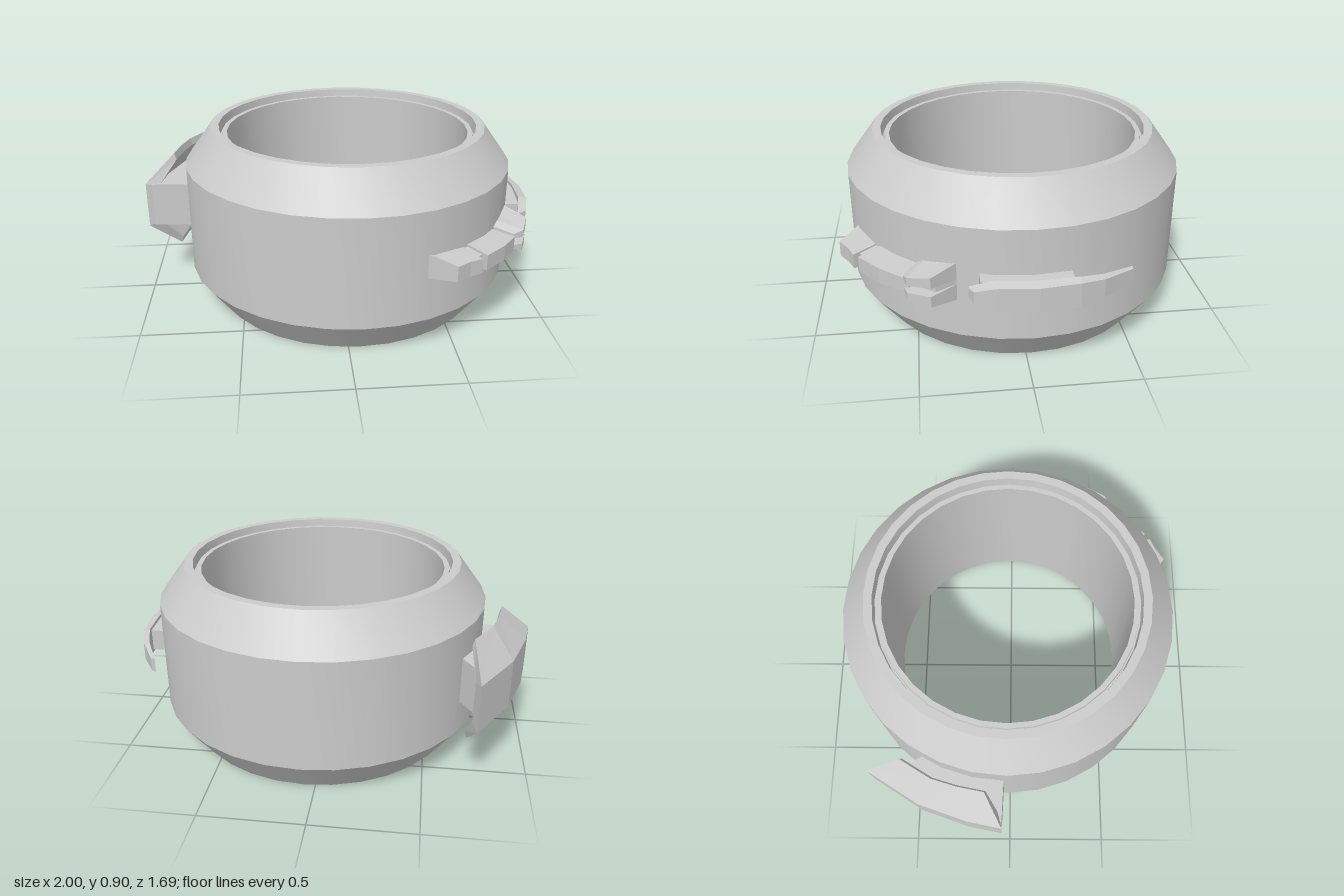
import * as THREE from 'three';
import { toCreasedNormals } from 'three/addons/utils/BufferGeometryUtils.js';

const CX = 0.055, CZ = -0.017, MID = 0.455;
const material = new THREE.MeshStandardMaterial({ color: 0xcccccc });
const flat = new THREE.MeshStandardMaterial({ color: 0xcccccc, flatShading: true });

// Joins equal-length closed cross-sections into a capped, faceted solid.
function loft(name, sections) {
  const n = sections[0].length, tris = [];
  for (let i = 0; i < sections.length - 1; i++) {
    for (let j = 0; j < n; j++) {
      const k = (j + 1) % n;
      const a = sections[i][j], b = sections[i][k], c = sections[i + 1][k], d = sections[i + 1][j];
      tris.push([a, b, c], [a, c, d]);
    }
  }
  // caps fold inwards from both ends of the section, so channel shapes work too
  for (const [s, flip] of [[sections[0], true], [sections.at(-1), false]]) {
    for (let j = 0; j < n / 2 - 1; j++) {
      const q = [s[j], s[j + 1], s[n - 2 - j], s[n - 1 - j]];
      if (flip) q.reverse();
      tris.push([q[0], q[1], q[2]], [q[0], q[2], q[3]]);
    }
  }
  // turn the faces outwards
  let volume = 0;
  for (const [a, b, c] of tris) volume += a.dot(b.clone().cross(c));
  if (volume < 0) tris.forEach((t) => t.reverse());
  const geometry = new THREE.BufferGeometry().setFromPoints(tris.flat());
  geometry.computeVertexNormals();
  const mesh = new THREE.Mesh(geometry, flat);
  mesh.name = name;
  return mesh;
}

const v = (x, y, z) => new THREE.Vector3(x, y, z);
// Point on the band: angle in degrees, distance from its axis, height from mid-line
function polar(deg, r, y) {
  const a = THREE.MathUtils.degToRad(deg);
  return v(CX + r * Math.cos(a), MID + y, CZ + r * Math.sin(a));
}

function band() {
  const half = [
    [0.615, 0.87], [0.64, 0.87], [0.642, 0.85], [0.65, 0.85],
    [0.655, 0.905], [0.697, 0.905], [0.83, 0.725],
  ];
  const lower = half.map(([r, y]) => [r, 0.905 - y]);
  const profile = [...lower, ...half.slice().reverse(), lower[0]];
  const lathe = new THREE.LatheGeometry(profile.map(([r, y]) => new THREE.Vector2(r, y)), 32);
  const mesh = new THREE.Mesh(toCreasedNormals(lathe, 0.5), material);
  mesh.name = 'ringBand';
  mesh.position.set(CX, 0, CZ);
  return mesh;
}

// Hollow three-sided guard carried on a solid block
function largeGuard() {
  const g = new THREE.Group();
  g.name = 'largeGuard';
  // [outer x, z, wing x, z, inner x, z]
  const rows = [
    [-1.0, -0.04, -0.85, -0.12, -0.935, -0.05],
    [-0.97, -0.2, -0.825, -0.25, -0.915, -0.19],
    [-0.89, -0.44, -0.79, -0.37, -0.84, -0.41],
    [-0.73, -0.7, -0.7, -0.52, -0.71, -0.63],
  ];
  g.add(loft('guardShell', rows.map(([ox, oz, wx, wz, ix, iz]) => [
    v(wx, 0.72, wz), v(ox, 0.58, oz), v(ox, 0.34, oz), v(wx, 0.2, wz),
    v(wx + 0.01, 0.235, wz + 0.005), v(ix, 0.36, iz), v(ix, 0.56, iz), v(wx + 0.01, 0.685, wz + 0.005),
  ])));
  const block = [[-0.97, -0.04, -0.74, -0.03], [-0.94, -0.2, -0.7, -0.2], [-0.85, -0.41, -0.64, -0.35], [-0.73, -0.55, -0.65, -0.42]];
  g.add(loft('guardMount', block.map(([ox, oz, ix, iz]) => [
    v(ox, 0.575, oz), v(ox, 0.345, oz), v(ix, 0.345, iz), v(ix, 0.575, iz),
  ])));
  return g;
}

// Thin curved lever on a small block
function lever() {
  const g = new THREE.Group();
  g.name = 'lever';
  // [outer x, inner x, z, half height inside, half height outside]
  const rows = [
    [0.91, 0.9, 0.27, 0.028, 0.022], [0.952, 0.91, 0.25, 0.038, 0.03],
    [0.982, 0.935, 0.16, 0.071, 0.058], [1.0, 0.955, -0.02, 0.071, 0.058],
    [0.98, 0.945, -0.2, 0.07, 0.058], [0.94, 0.91, -0.31, 0.055, 0.046],
    [0.85, 0.832, -0.455, 0.037, 0.033],
  ];
  g.add(loft('leverBlade', rows.map(([ox, ix, z, hi, ho]) => [
    v(ox, MID + ho, z), v(ox, MID - ho, z), v(ix, MID - hi, z), v(ix, MID + hi, z),
  ])));
  const mount = [[0.92, 0.82, 0.22], [0.955, 0.85, 0], [0.945, 0.83, -0.18]];
  g.add(loft('leverMount', mount.map(([ox, ix, z]) => [
    v(ox, MID + 0.055, z), v(ox, MID - 0.055, z), v(ix, MID - 0.055, z), v(ix, MID + 0.055, z),
  ])));
  return g;
}

// Segmented clasp that follows the band and ends in a forked head
function clasp() {
  const g = new THREE.Group();
  g.name = 'clasp';
  // [angle, outer radius, half height at top, half height at base]
  const body = (rows) => rows.map(([a, r, top, base]) => [
    polar(a, r, top), polar(a, r, -top), polar(a, 0.78, -base), polar(a, 0.78, base),
  ]);
  g.add(loft('claspTail', body([
    [69.5, 0.825, 0.06, 0.06], [64.7, 0.948, 0.038, 0.058], [60, 0.94, 0.038, 0.055], [55.8, 0.95, 0.035, 0.052],
  ])));
  g.add(loft('claspGroove', body([[56, 0.915, 0.03, 0.045], [53, 0.915, 0.03, 0.045]])));
  g.add(loft('claspBody', body([
    [53.6, 0.945, 0.038, 0.055], [45, 0.945, 0.038, 0.055], [38, 0.94, 0.036, 0.052], [35.5, 0.925, 0.025, 0.035],
  ])));
  g.add(loft('claspNeck', body([
    [36, 0.9, 0.02, 0.025], [28, 0.905, 0.03, 0.04], [23.4, 0.823, 0.07, 0.07],
  ])));
  // [angle, outer radius, prong inner edge, top outer edge, base outer edge]
  const prong = [
    [37, 0.93, 0.018, 0.04, 0.06], [34.5, 0.962, 0.018, 0.055, 0.078],
    [28, 0.947, 0.02, 0.072, 0.086], [23.4, 0.823, 0.012, 0.093, 0.093],
  ];
  for (const s of [1, -1]) {
    g.add(loft('claspProng', prong.map(([a, r, inner, top, base]) => [
      polar(a, r, s * inner), polar(a, r, s * top), polar(a, 0.79, s * base), polar(a, 0.79, s * inner),
    ])));
  }
  return g;
}

export function createModel() {
  const model = new THREE.Group();
  model.name = 'bracelet';
  model.add(band(), largeGuard(), lever(), clasp());
  return model;
}
